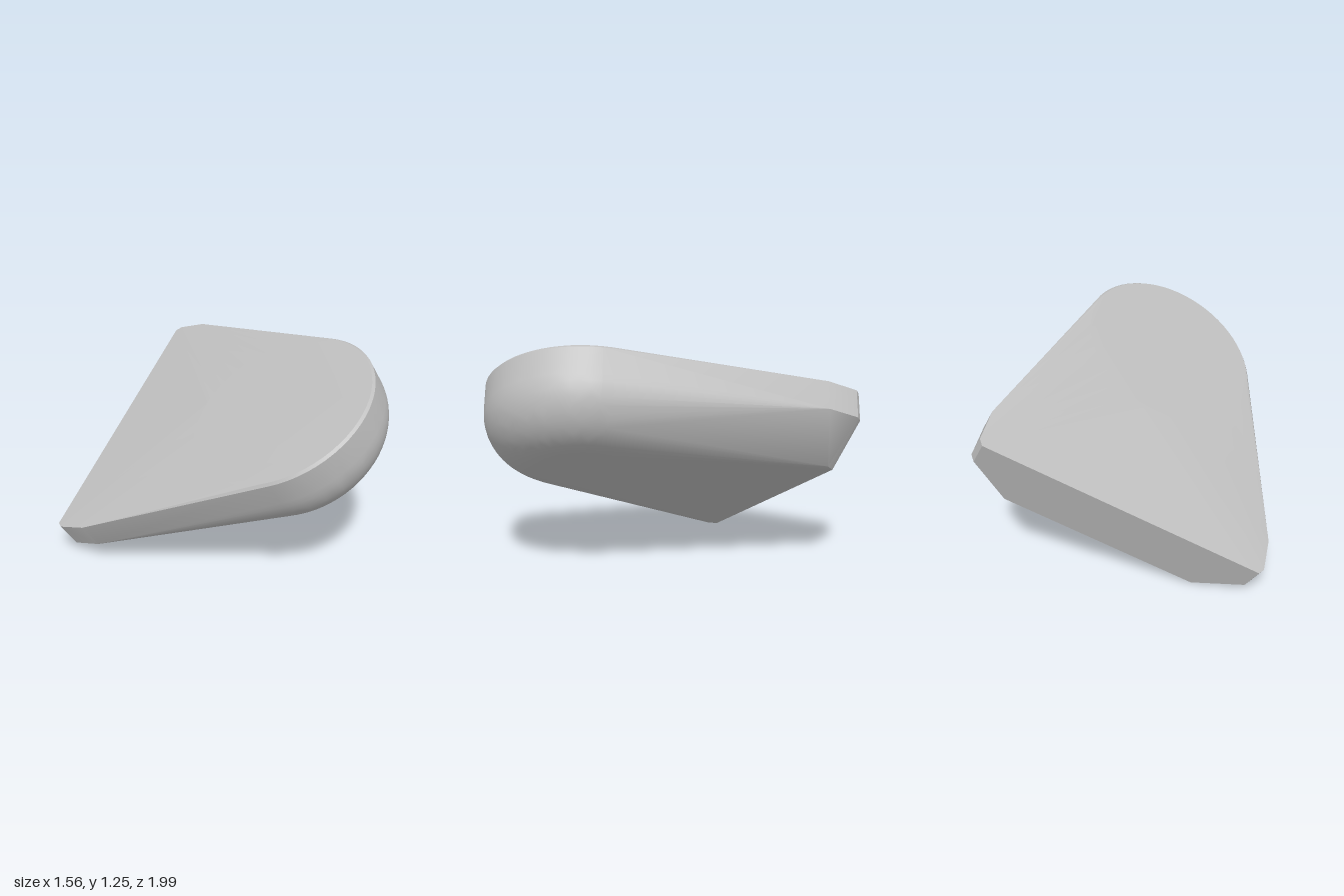
import * as THREE from 'three';
import { toCreasedNormals } from 'three/addons/utils/BufferGeometryUtils.js';
import { ConvexGeometry } from 'three/addons/geometries/ConvexGeometry.js';

// Tilted frame: first axis follows `along`, second is the upward axis of the part
function frame(up, along, origin) {
  const n = up.clone().normalize();
  const u = along.clone().addScaledVector(n, -along.dot(n)).normalize();
  const v = new THREE.Vector3().crossVectors(u, n);
  return new THREE.Matrix4().makeBasis(u, n, v).setPosition(origin);
}

// Round nose: a disc with a thin top bevel, straight wall and large rounded underside
function nosePoints() {
  const R = 0.548, WALL = 0.157, FILLET = 0.3, SEGMENTS = 64, STEPS = 12;
  const profile = [[R - 0.013, 0], [R, -0.014]];
  for (let k = 0; k <= STEPS; k++) {
    const t = (Math.PI / 2) * k / STEPS;
    profile.push([R - FILLET + FILLET * Math.cos(t), -WALL - FILLET * Math.sin(t)]);
  }
  const pts = [];
  for (const [r, y] of profile) {
    for (let i = 0; i < SEGMENTS; i++) {
      const a = (2 * Math.PI * i) / SEGMENTS;
      pts.push(new THREE.Vector3(r * Math.cos(a), y, r * Math.sin(a)));
    }
  }
  return pts;
}

// Broad tail: a flat-backed plate with chamfered lower ends and clipped corners
function tailPoints() {
  const half = [
    [0.815, 0, 0], [0.84, 0, 0.035], [0.84, 0, 0.225],
    [0.815, -0.16, 0], [0.84, -0.16, 0.035], [0.84, -0.16, 0.225],
    [0.576, -0.363, 0], [0.6, -0.363, 0.05],
  ];
  return half.flatMap(([u, n, v]) => [new THREE.Vector3(u, n, v), new THREE.Vector3(-u, n, v)]);
}

export function createModel() {
  const grey = new THREE.MeshStandardMaterial({ color: 0xbfbfbf });
  grey.name = 'plain grey';

  const along = new THREE.Vector3(0.801, 0.476, -0.361);
  const noseFrame = frame(new THREE.Vector3(-0.543, 0.835, -0.084), along, new THREE.Vector3(0.18, 0.958, 0.436));
  const tailFrame = frame(new THREE.Vector3(-0.55, 0.824, -0.133), along, new THREE.Vector3(-0.12, 0.573, -0.7));

  // Taut skin stretched from the nose to the tail
  const points = [
    ...nosePoints().map((p) => p.applyMatrix4(noseFrame)),
    ...tailPoints().map((p) => p.applyMatrix4(tailFrame)),
  ];
  const skin = toCreasedNormals(new ConvexGeometry(points), THREE.MathUtils.degToRad(28));

  const slab = new THREE.Mesh(skin, grey);
  slab.name = 'roundNosedSlab';
  const model = new THREE.Group();
  model.name = 'tiltedWedge';
  model.add(slab);
  return model;
}
